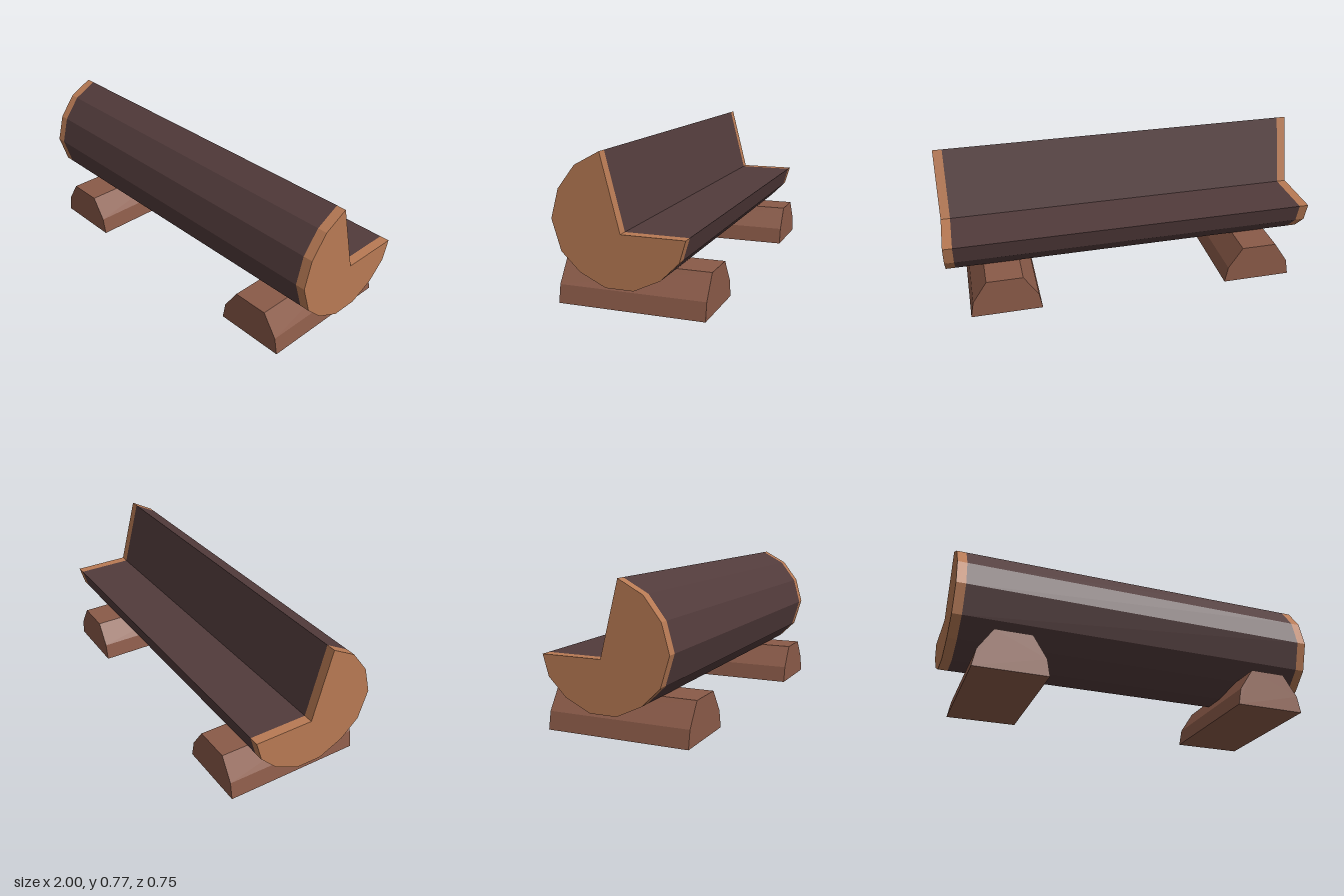
import * as THREE from 'three';

const bark = new THREE.MeshStandardMaterial({ color: 0x523b3b });
bark.name = 'dark bark';
const cutWood = new THREE.MeshStandardMaterial({ color: 0xb87a54 });
cutWood.name = 'cut wood';
const footWood = new THREE.MeshStandardMaterial({ color: 0x8a5a48 });
footWood.name = 'foot wood';

// Flat-faced prism: an outline extruded from 0 to depth along z
function prism(points, depth) {
  const shape = new THREE.Shape(points.map(([x, y]) => new THREE.Vector2(x, y)));
  return new THREE.ExtrudeGeometry(shape, { depth, bevelEnabled: false });
}

// Log cross-section with the seat notch cut out, as [z, y]
const logProfile = [
  [0.085, 0.77], [0.21, 0.703], [0.297, 0.59], [0.336, 0.448],
  [0.29, 0.297], [0.197, 0.207], [0.068, 0.145], [-0.07, 0.145],
  [-0.2, 0.207], [-0.29, 0.297], [-0.321, 0.402], [-0.01, 0.402],
];

// Slice of the log between two x positions
function logSlice(name, x0, x1, material) {
  const geometry = prism(logProfile.map(([z, y]) => [-z, y]), x1 - x0);
  geometry.rotateY(Math.PI / 2).translate(x0, 0, 0);
  const mesh = new THREE.Mesh(geometry, material);
  mesh.name = name;
  return mesh;
}

export function createModel() {
  const bench = new THREE.Group();
  bench.name = 'logBench';

  // Bark-covered log with bare wood at both ends
  bench.add(
    logSlice('log', -0.95, 0.95, bark),
    logSlice('rightLogEnd', -1, -0.95, cutWood),
    logSlice('leftLogEnd', 0.95, 1, cutWood),
  );

  // Half-log feet running front to back
  const footProfile = [
    [-0.19, 0], [0.19, 0], [0.173, 0.09],
    [0.096, 0.207], [-0.096, 0.207], [-0.173, 0.09],
  ];
  const footGeometry = prism(footProfile, 0.75).translate(0, 0, -0.375);
  for (const side of [-1, 1]) {
    const foot = new THREE.Mesh(footGeometry, footWood);
    foot.name = side > 0 ? 'leftFoot' : 'rightFoot';
    foot.position.x = side * 0.705;
    bench.add(foot);
  }
  return bench;
}
